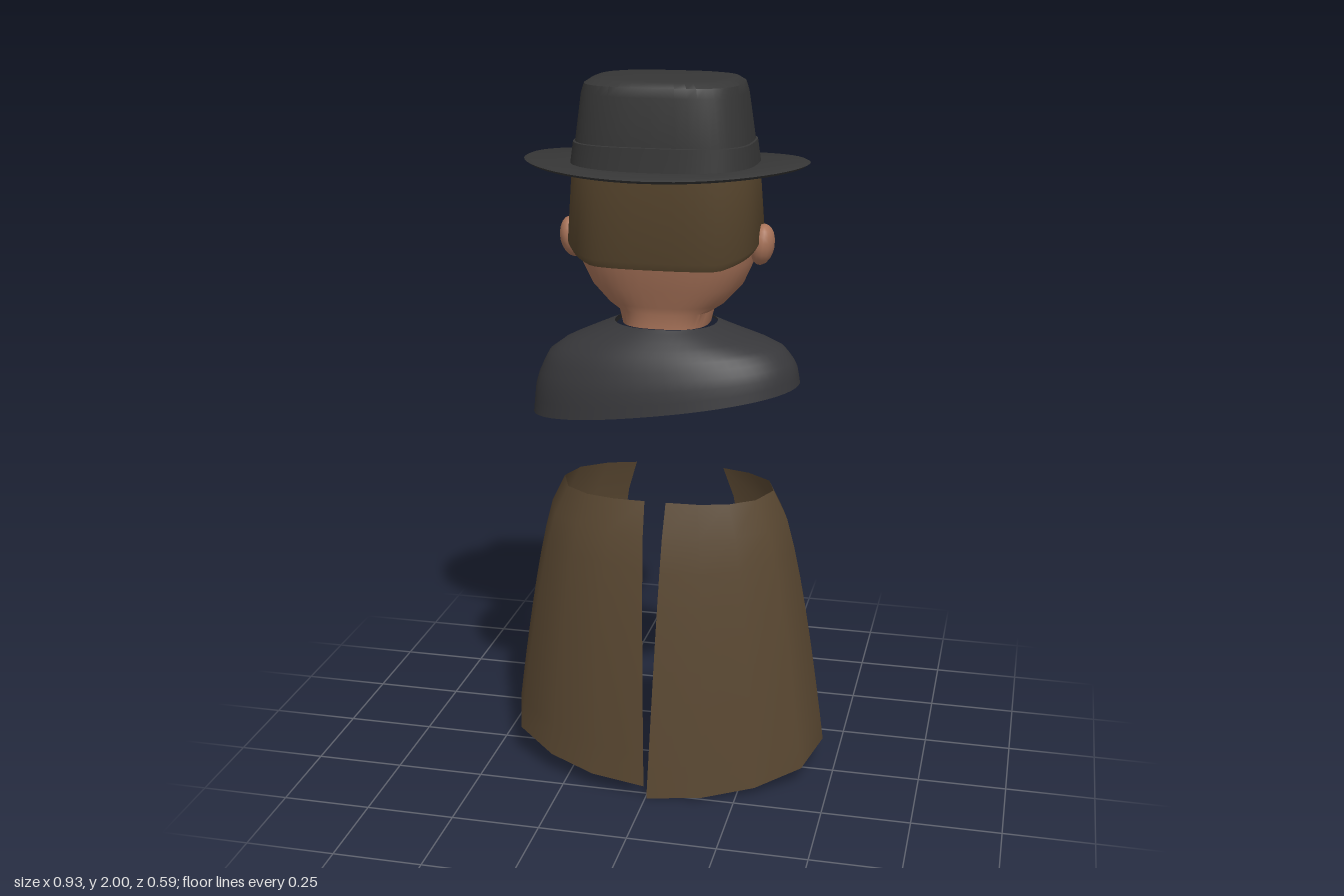
import * as THREE from 'three';
import { toCreasedNormals } from 'three/addons/utils/BufferGeometryUtils.js';
import { ConvexGeometry } from 'three/addons/geometries/ConvexGeometry.js';

const mat = (name, color, side = THREE.FrontSide) => {
  const m = new THREE.MeshStandardMaterial({ color, side });
  m.name = name;
  return m;
};

// Surface from a rule: fn(row, col) returns [x, y, z]; rows run upward, columns from +z toward +x
function grid(rows, cols, fn, closed, crease = 0.7) {
  const pos = [], idx = [];
  for (let i = 0; i < rows; i++) for (let j = 0; j < cols; j++) pos.push(...fn(i, j));
  for (let i = 0; i < rows - 1; i++) {
    for (let j = 0; j < (closed ? cols : cols - 1); j++) {
      const k = (j + 1) % cols;
      const a = i * cols + j, b = i * cols + k, c = a + cols, d = b + cols;
      idx.push(a, b, d, a, d, c);
    }
  }
  const g = new THREE.BufferGeometry();
  g.setAttribute('position', new THREE.Float32BufferAttribute(pos, 3));
  g.setIndex(idx);
  return toCreasedNormals(g, crease);
}

const sp = (v, e) => Math.sign(v) * Math.abs(v) ** e;
// Point on a rounded-square ring; row = [y, radiusX, radiusZ, centreZ]
const ring = ([y, rx, rz, cz = 0], a, n) =>
  [rx * sp(Math.sin(a), 2 / n), y, cz + rz * sp(Math.cos(a), 2 / n)];
const loft = (rows, n, cols = 48) =>
  grid(rows.length, cols, (i, j) => ring(rows[i], (j / cols) * Math.PI * 2, n), true);

// Linear interpolation in a table of rows by fraction 0..1
const sample = (rows, t) => {
  const f = Math.min(t, 0.9999) * (rows.length - 1), i = Math.floor(f);
  return rows[i].map((v, k) => v + (rows[i + 1][k] - v) * (f - i));
};

const HEAD = [
  [1.33, 0.12, 0.108, -0.012], [1.37, 0.13, 0.108, -0.012], [1.39, 0.162, 0.125, -0.022],
  [1.44, 0.208, 0.147, -0.025], [1.51, 0.24, 0.165, -0.02], [1.6, 0.25, 0.175, -0.01],
  [1.76, 0.235, 0.172, 0],
];
const HEAD_N = 2.6;

// z of the face surface at x, y
function faceZ(x, y) {
  const i = Math.max(1, HEAD.findIndex((r) => r[0] >= y));
  const [p, q] = [HEAD[i - 1], HEAD[i]];
  const t = (y - p[0]) / (q[0] - p[0]);
  const [, rx, rz, cz] = p.map((v, k) => v + (q[k] - v) * t);
  return cz - rz * (1 - Math.abs(x / rx) ** HEAD_N) ** (1 / HEAD_N);
}

// Flat outline laid on the face
function facePatch(points, lift) {
  const g = new THREE.ShapeGeometry(new THREE.Shape(points.map(([x, y]) => new THREE.Vector2(x, y))));
  const p = g.attributes.position;
  for (let i = 0; i < p.count; i++) p.setZ(i, faceZ(p.getX(i), p.getY(i)) - lift);
  g.computeVertexNormals();
  return g;
}

export function createModel() {
  const model = new THREE.Group();
  const felt = mat('charcoal felt', 0x363636);
  const capeCloth = mat('charcoal cloth', 0x37373a, THREE.DoubleSide);
  const coat = mat('brown cloth', 0x594731, THREE.DoubleSide);
  const hairMat = mat('brown hair', 0x57452d, THREE.DoubleSide);
  const skin = mat('skin', 0xa87359);
  const dark = mat('dark brown', 0x33271c, THREE.DoubleSide);
  const white = mat('eye white', 0xb9a695, THREE.DoubleSide);
  const add = (name, geo, material, parent = model) => {
    const m = new THREE.Mesh(geo, material);
    m.name = name;
    parent.add(m);
    return m;
  };

  // Hat: oval brim lifted at the sides, tapered rounded crown, band
  const hat = new THREE.Group();
  hat.name = 'hat';
  model.add(hat);
  const brim = [[0, 0], [0.6, 0], [0.97, 0.002], [1, 0.009], [0.97, 0.015], [0.6, 0.015], [0, 0.015]];
  add('brim', grid(brim.length, 56, (i, j) => {
    const a = (j / 56) * Math.PI * 2, x = 0.388 * brim[i][0] * Math.sin(a), z = 0.296 * brim[i][0] * Math.cos(a);
    return [x, 1.751 + brim[i][1] + 0.12 * x * x + 0.018 * z, z];
  }, true), felt, hat);
  add('crown', loft([
    [1.755, 0.246, 0.182, 0.004], [1.83, 0.236, 0.176, 0.006], [1.96, 0.217, 0.17, 0.01],
    [1.985, 0.209, 0.164, 0.01], [1.997, 0.19, 0.148, 0.01], [2, 0.165, 0.13, 0.01], [2, 0, 0, 0.01],
  ], 3.2), felt, hat);
  add('hatBand', loft([
    [1.76, 0.248, 0.184, 0.004], [1.762, 0.251, 0.187, 0.004],
    [1.832, 0.241, 0.181, 0.006], [1.834, 0.234, 0.174, 0.006],
  ], 3.2), felt, hat);

  // Head with neck, hair shell, ears
  const head = new THREE.Group();
  head.name = 'head';
  model.add(head);
  add('headAndNeck', loft(HEAD, HEAD_N), skin, head);
  const hairRows = [[0, 0.235, 0.15, -0.004], [0, 0.255, 0.168, 0], [0.08, 0.265, 0.176, 0], [1, 0.25, 0.181, 0]];
  add('hair', grid(4, 33, (i, j) => {
    const a = ((j - 16) / 16) * 1.72;
    const hem = 1.508 + 0.05 * Math.max(0, Math.abs(a) - 0.6);
    const [t, ...r] = hairRows[i];
    return ring([hem + (1.76 - hem) * t, ...r], a, 2.9);
  }, false), hairMat, head);

  for (const s of [-1, 1]) {
    const ear = add('ear', new THREE.SphereGeometry(1, 14, 10), skin, head);
    ear.scale.set(0.034, 0.057, 0.045);
    ear.position.set(s * 0.264, 1.557, 0);
    ear.rotation.set(0.15, 0, -s * 0.15);
    // Brow, eye and lower lid
    const m = (pts) => pts.map(([x, y]) => [x * s, y]);
    add('eyebrow', facePatch(m([[0.035, 1.592], [0.09, 1.612], [0.155, 1.618], [0.15, 1.632], [0.09, 1.632], [0.035, 1.61]]), 0.009), dark, head);
    add('eyeWhite', facePatch(m([[0.055, 1.572], [0.095, 1.562], [0.135, 1.575], [0.13, 1.588], [0.095, 1.592], [0.062, 1.586]]), 0.006), white, head);
    add('pupil', facePatch(m([[0.083, 1.566], [0.107, 1.566], [0.11, 1.59], [0.08, 1.59]]), 0.009), dark, head);
    add('eyelid', facePatch(m([[0.05, 1.582], [0.095, 1.59], [0.142, 1.582], [0.138, 1.592], [0.095, 1.599], [0.055, 1.592]]), 0.009), dark, head);
    add('moustache', facePatch(m([[0, 1.479], [0.045, 1.472], [0.085, 1.448], [0.08, 1.47], [0.045, 1.495], [0, 1.498]]), 0.013), dark, head);
  }
  const nosePoints = [];
  for (const s of [-1, 1]) {
    for (const [x, y, z] of [[0.014, 1.605, -0.182], [0.02, 1.595, -0.17], [0.014, 1.535, -0.234],
      [0.012, 1.512, -0.226], [0.034, 1.518, -0.195], [0.03, 1.505, -0.17]]) {
      nosePoints.push(new THREE.Vector3(x * s, y, z));
    }
  }
  add('nose', toCreasedNormals(new ConvexGeometry(nosePoints), 0.8), skin, head);

  // Shoulder cape: open at the face side, hem slanting up toward +x
  const profile = [
    [1.335, 0.142, 0.12, 0], [1.305, 0.205, 0.142, 0.004], [1.27, 0.28, 0.162, 0.008],
    [1.23, 0.332, 0.18, 0.01], [1.15, 0.366, 0.202, 0.012], [1.05, 0.376, 0.212, 0.012],
  ];
  add('shoulderCape', grid(13, 49, (i, j) => {
    const t = 1 - i / 12;
    const gapLeft = 0.52 + 0.22 * Math.sin(Math.PI * t) - 0.13 * t; // edge on the +x side
    const gapRight = 1.0 - 0.53 * t ** 0.6; // edge on the -x side
    const a0 = -Math.PI + gapRight, a1 = Math.PI - gapLeft;
    const a = a0 + (a1 - a0) * (j / 48);
    const p = ring(sample(profile, t), a, 2.2);
    const hem = 1.12 + 0.15 * p[0] - 0.2 * Math.max(0, -p[2]);
    p[1] = 1.335 + (p[1] - 1.335) * ((1.335 - hem) / 0.285);
    return p;
  }, false), capeCloth);
  const clasp = add('clasp', new THREE.SphereGeometry(1, 14, 10), dark);
  clasp.scale.set(0.025, 0.04, 0.013);
  clasp.position.set(0.125, 1.142, -0.214);

  // Coat skirt: two flared panels, slit at +z and open at -z
  const top = [[0.03, 0.145], [0.12, 0.142], [0.2, 0.122], [0.27, 0.07], [0.305, -0.02], [0.28, -0.1], [0.21, -0.155], [0.13, -0.18]];
  const bottom = [[0.004, 0.28], [0.16, 0.255], [0.3, 0.192], [0.42, 0.1], [0.463, -0.04], [0.44, -0.125], [0.36, -0.195], [0.24, -0.248]];
  const hemY = [0, 0.008, 0.022, 0.05, 0.08, 0.08, 0.06, 0.035];
  for (const s of [-1, 1]) {
    add(s > 0 ? 'coatPanelLeft' : 'coatPanelRight', grid(10, 8, (i, j) => {
      const k = s > 0 ? j : 7 - j;
      const t = 1 - i / 9, w = t ** 0.62;
      const hem = hemY[k] + (s < 0 && k < 6 ? 0.038 : 0);
      const slit = k === 0 ? t : w;
      return [
        s * (top[k][0] + (bottom[k][0] - top[k][0]) * slit),
        0.85 + (hem - 0.85) * t,
        top[k][1] + (bottom[k][1] - top[k][1]) * w,
      ];
    }, false, 0.9), coat);
  }
  return model;
}
